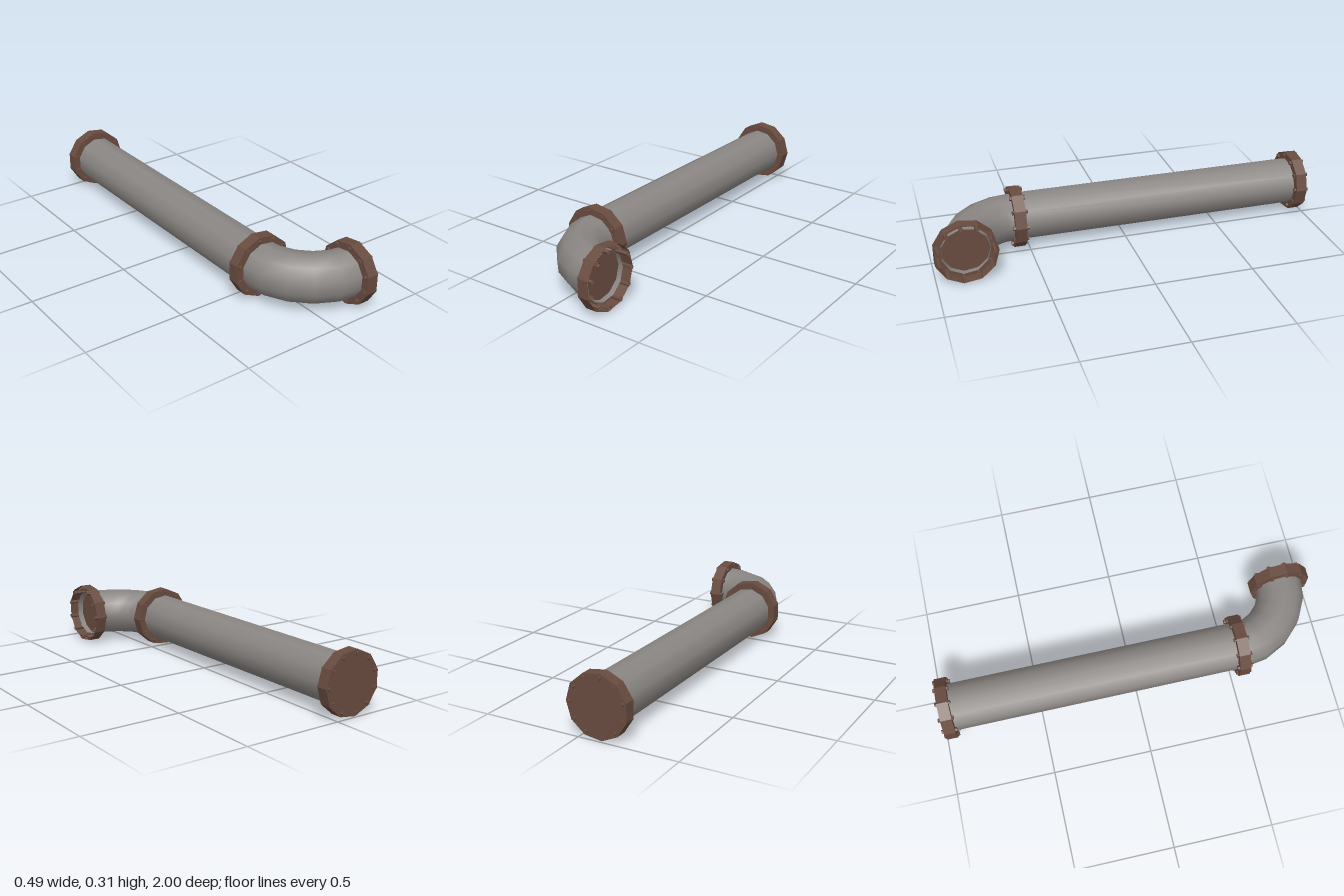
import * as THREE from 'three';

const SIDES = 11;
const PIPE_R = 0.121, FLANGE_R = 0.157, BOLT_CIRCLE = 0.138, BOLT_R = 0.011;
const FLANGE_LEN = 0.057, BOLT_LEN = 0.078;
const AXIS_X = -0.092, AXIS_Y = 0.156;   // axis of the straight pipe
const BACK_Z = -0.961, JOINT_Z = 0.553;  // flange centres along it
const BEND_R = 0.296;

const steel = new THREE.MeshStandardMaterial({ color: 0x8a8683, side: THREE.DoubleSide });
steel.name = 'pipe grey';
const rust = new THREE.MeshStandardMaterial({ color: 0x684b3f, side: THREE.DoubleSide, flatShading: true });
rust.name = 'flange brown';

function addMesh(parent, name, geometry, material) {
  const mesh = new THREE.Mesh(geometry, material);
  mesh.name = name;
  parent.add(mesh);
  return mesh;
}

// Prism along z with a corner on +x; the front cap can be left off
function addPrism(parent, name, radius, length, sides, frontCap) {
  const group = new THREE.Group();
  group.name = name;
  const wall = new THREE.CylinderGeometry(radius, radius, length, sides, 1, true);
  addMesh(group, name + 'Wall', wall.rotateY(Math.PI / 2).rotateX(Math.PI / 2), rust);
  const back = new THREE.CircleGeometry(radius, sides).rotateX(Math.PI);
  addMesh(group, name + 'BackCap', back.translate(0, 0, -length / 2), rust);
  if (frontCap) {
    const front = new THREE.CircleGeometry(radius, sides);
    addMesh(group, name + 'FrontCap', front.translate(0, 0, length / 2), rust);
  }
  parent.add(group);
  return group;
}

// Flange ring with bolts running through it
function makeFlange(name, frontCap) {
  const flange = new THREE.Group();
  flange.name = name;
  addPrism(flange, 'flangeDisc', FLANGE_R, FLANGE_LEN, SIDES, frontCap);
  for (let i = 0; i < SIDES; i++) {
    const a = (i / SIDES) * Math.PI * 2;
    const bolt = addPrism(flange, 'bolt', BOLT_R, BOLT_LEN, 5, frontCap);
    bolt.position.set(Math.cos(a) * BOLT_CIRCLE, Math.sin(a) * BOLT_CIRCLE, 0);
    bolt.rotation.z = a;
  }
  return flange;
}

export function createModel() {
  const model = new THREE.Group();
  model.name = 'bentPipe';

  // Straight run
  const run = new THREE.CylinderGeometry(PIPE_R, PIPE_R, JOINT_Z - BACK_Z, SIDES, 1, true);
  run.rotateY(Math.PI / 2).rotateX(Math.PI / 2);
  addMesh(model, 'straightPipe', run, steel)
    .position.set(AXIS_X, AXIS_Y, (JOINT_Z + BACK_Z) / 2);

  // Quarter bend towards +x; the negative tube radius starts its corners on the inside of the bend
  const bend = new THREE.TorusGeometry(BEND_R, -PIPE_R, SIDES, 5, Math.PI / 2);
  bend.rotateZ(Math.PI / 2).rotateX(Math.PI / 2);
  addMesh(model, 'elbow', bend, steel).position.set(AXIS_X + BEND_R, AXIS_Y, JOINT_Z);

  // Flanges at the far end, the joint and the open mouth
  const backFlange = makeFlange('backFlange', true);
  backFlange.position.set(AXIS_X, AXIS_Y, BACK_Z);
  const jointFlange = makeFlange('jointFlange', true);
  jointFlange.position.set(AXIS_X, AXIS_Y, JOINT_Z - 0.002);
  const mouthFlange = makeFlange('mouthFlange', false);
  mouthFlange.position.set(AXIS_X + BEND_R, AXIS_Y, JOINT_Z + BEND_R);
  mouthFlange.rotation.y = Math.PI / 2;
  model.add(backFlange, jointFlange, mouthFlange);

  return model;
}
